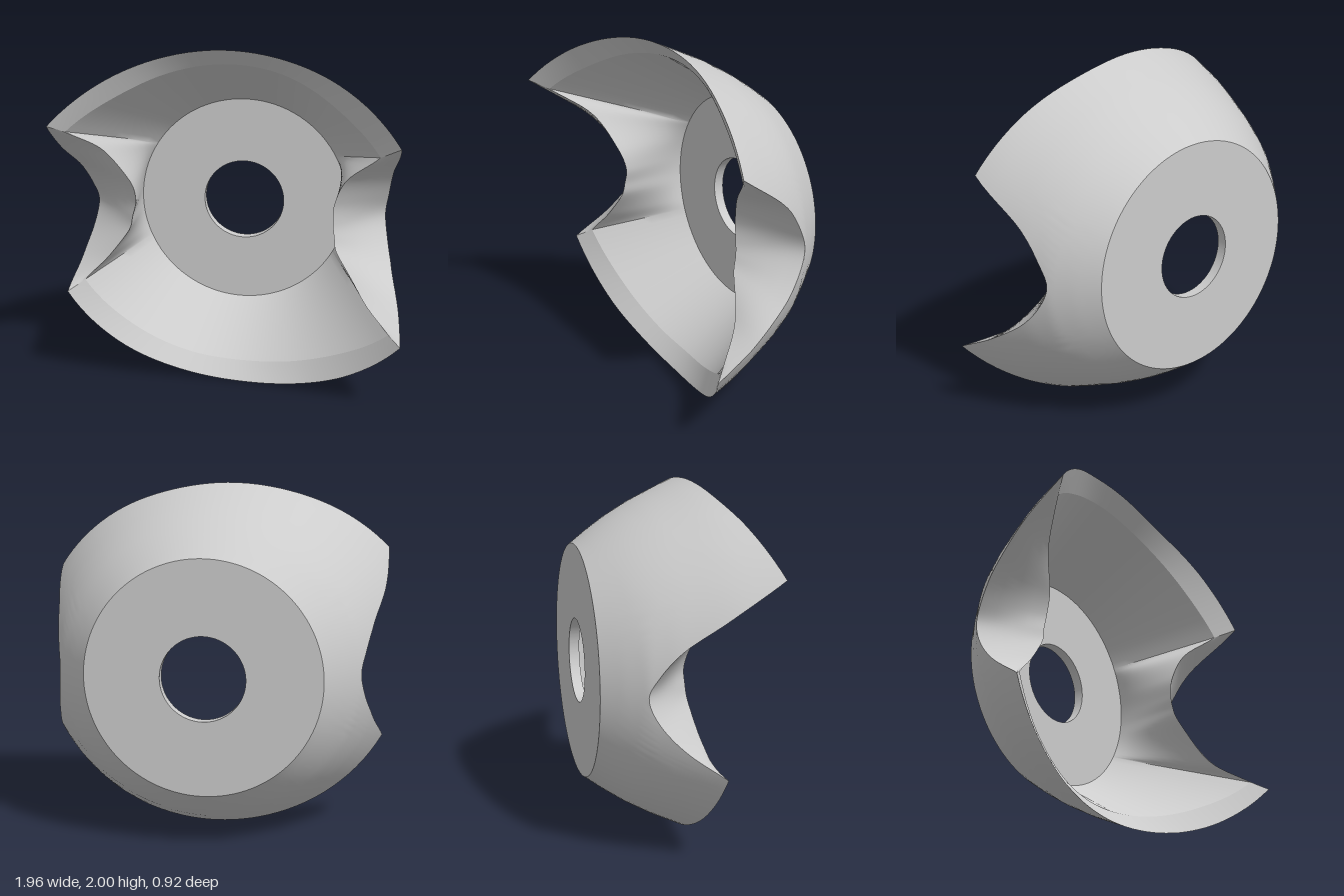
import * as THREE from 'three';
import { toCreasedNormals } from 'three/addons/utils/BufferGeometryUtils.js';

const CX = -0.01, CY = 0.98, BACK = -0.46, FLOOR = -0.4;
const HOLE_R = 0.24, FLOOR_R = 0.62;

// Outer shell profile: [z, radius]
const PROFILE = [[-0.46, 0.667], [-0.35, 0.748], [-0.24, 0.82], [-0.1, 0.898],
  [0.07, 0.977], [0.17, 1.021], [0.25, 1.05], [0.46, 1.118]];

// Edge keys per arc: [outer angle, outer z, inner angle, inner radius, inner z]
const ARCS = [
  { name: 'rightNotch', keys: [
    [-30, 0.42, -30, 1.06, 0.34], [-23.7, 0.14, -27.5, 0.85, 0.15], [-16.5, -0.075, -15, 0.62, 0.05],
    [-8.3, -0.19, -7, 0.585, 0.025], [0, -0.235, 0, 0.573, 0.02], [8, -0.19, 11.7, 0.59, 0.03],
    [17.6, -0.075, 23, 0.7, 0.07], [28.4, 0.25, 28, 0.95, 0.17]] },
  { name: 'topRim', keys: [
    [28.4, 0.25, 28, 0.95, 0.17], [47.5, 0.2, 48, 0.915, 0.12], [72, 0.15, 72, 0.918, 0.075],
    [89.5, 0.165, 90, 0.925, 0.085], [112.5, 0.235, 112, 0.945, 0.15], [129, 0.335, 129, 0.98, 0.24],
    [147, 0.46, 147, 1.06, 0.36]] },
  { name: 'leftNotch', keys: [
    [147, 0.46, 147, 1.06, 0.36], [156, 0.16, 150, 0.83, 0.15], [164, -0.075, 160, 0.635, 0.06],
    [172, -0.19, 171, 0.582, 0.02], [179, -0.24, 180, 0.595, 0.02], [188, -0.19, 188, 0.623, 0.03],
    [197, -0.05, 198, 0.768, 0.06], [204.4, 0.165, 203.6, 0.95, 0.1]] },
  { name: 'bottomRim', keys: [
    [204.4, 0.165, 203.6, 0.95, 0.1], [228, 0.11, 228, 0.905, 0.03], [252, 0.068, 252, 0.885, -0.01],
    [273, 0.08, 273, 0.88, 0], [292, 0.15, 292, 0.905, 0.07], [309, 0.26, 309, 0.955, 0.17],
    [330, 0.42, 330, 1.06, 0.34]] },
];

const polar = (a, r, z) => new THREE.Vector3(CX + r * Math.cos(a), CY + r * Math.sin(a), z);

// Shell radius, slightly wider toward the sides
function shellRadius(a, z) {
  let i = 0;
  while (i < PROFILE.length - 2 && z > PROFILE[i + 1][0]) i++;
  const [z0, r0] = PROFILE[i], [z1, r1] = PROFILE[i + 1];
  const r = r0 + (r1 - r0) * (z - z0) / (z1 - z0);
  const widen = THREE.MathUtils.clamp((z - BACK) / 0.22, 0, 1);
  return r * (1 + 0.045 * widen * Math.cos(a) ** 2);
}

// Sample the inner and outer edges of one arc
function sampleArc(keys, steps) {
  const rad = THREE.MathUtils.degToRad;
  const outer = new THREE.CatmullRomCurve3(keys.map(k => new THREE.Vector3(rad(k[0]), 0, k[1])));
  const inner = new THREE.CatmullRomCurve3(keys.map(k => new THREE.Vector3(rad(k[2]), k[3], k[4])));
  return Array.from({ length: steps + 1 }, (_, i) => {
    const o = outer.getPoint(i / steps), n = inner.getPoint(i / steps);
    return { oa: o.x, oz: o.z, ia: n.x, ir: n.y, iz: n.z };
  });
}

// Surface through columns of points, each column running outward
function loft(columns) {
  const rows = columns[0].length, index = [];
  for (let i = 0; i < columns.length - 1; i++) {
    for (let j = 0; j < rows - 1; j++) {
      const a = i * rows + j, b = a + 1, c = a + rows, d = c + 1;
      index.push(a, b, c, b, d, c);
    }
  }
  const g = new THREE.BufferGeometry().setFromPoints(columns.flat());
  g.setIndex(index);
  return toCreasedNormals(g, 0.7);
}

const line = (p, q, n) => Array.from({ length: n + 1 }, (_, j) => p.clone().lerp(q, j / n));

export function createModel() {
  const group = new THREE.Group();
  const shellGray = new THREE.MeshStandardMaterial({ color: 0xcccccc });
  shellGray.name = 'shellGray';
  const add = (name, columns) => {
    const mesh = new THREE.Mesh(loft(columns), shellGray);
    mesh.name = name;
    group.add(mesh);
  };

  // Bevelled rims and side notches
  const edge = [];
  for (const { name, keys } of ARCS) {
    const samples = sampleArc(keys, 42);
    add(name, samples.map(s => line(polar(s.ia, s.ir, s.iz),
      polar(s.oa, shellRadius(s.oa, s.oz), s.oz), 4)));
    edge.push(...(edge.length ? samples.slice(1) : samples));
  }

  // Inside of the bowl
  add('cavityWall', edge.map(s => line(polar(s.ia, FLOOR_R, FLOOR), polar(s.ia, s.ir, s.iz), 8)));

  // Outside of the bowl
  add('outerShell', edge.map(s => Array.from({ length: 13 }, (_, j) => {
    const z = s.oz + (BACK - s.oz) * j / 12;
    return polar(s.oa, shellRadius(s.oa, z), z);
  })));

  // Floor, back plate and centre hole
  const ring = (name, r0, z0, r1, z1, angle) =>
    add(name, edge.map(s => [polar(angle(s), r0, z0), polar(angle(s), r1, z1)]));
  ring('floor', HOLE_R, FLOOR, FLOOR_R, FLOOR, s => s.ia);
  ring('backPlate', PROFILE[0][1], BACK, HOLE_R, BACK, s => s.oa);
  ring('centreHole', HOLE_R, BACK, HOLE_R, FLOOR, s => s.ia);

  return group;
}
